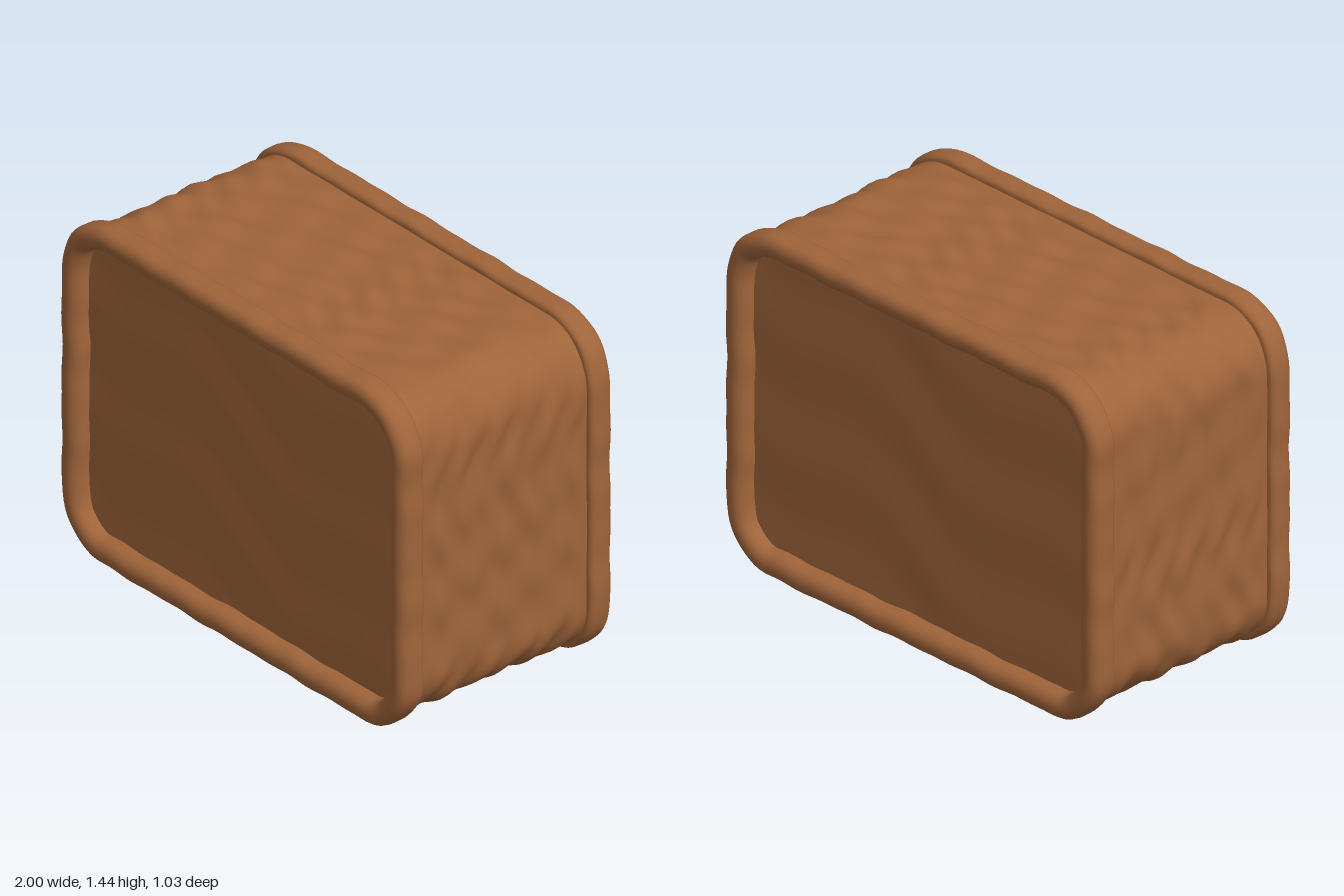
import * as THREE from 'three';

const HALF_W = 0.995, HALF_H = 0.717, RADIUS = 0.25, MID_Y = 0.73;

// Outline of the rounded rectangle: corner centre, outward normal, distance along it
function makeOutline() {
  const pts = [], cx = HALF_W - RADIUS, cy = HALF_H - RADIUS, arcSteps = 12;
  const corners = [[cx, cy], [-cx, cy], [-cx, -cy], [cx, -cy]];
  corners.forEach(([x, y], k) => {
    for (let i = 0; i <= arcSteps; i++) {
      const a = (k + i / arcSteps) * Math.PI / 2;
      pts.push({ x, y, nx: Math.cos(a), ny: Math.sin(a) });
    }
    // straight run to the next corner
    const [x2, y2] = corners[(k + 1) % 4], a = (k + 1) * Math.PI / 2;
    const steps = k % 2 ? 28 : 44;
    for (let i = 1; i < steps; i++) {
      const t = i / steps;
      pts.push({ x: x + (x2 - x) * t, y: y + (y2 - y) * t, nx: Math.cos(a), ny: Math.sin(a) });
    }
  });
  let s = 0;
  pts.forEach((p, i) => {
    const q = pts[Math.max(i - 1, 0)], r = RADIUS;
    s += Math.hypot(p.x + r * p.nx - q.x - r * q.nx, p.y + r * p.ny - q.y - r * q.ny);
    p.s = s;
  });
  const last = pts[pts.length - 1];
  const total = s + Math.hypot(last.x + RADIUS * last.nx - HALF_W, last.y + RADIUS * last.ny - (HALF_H - RADIUS));
  pts.forEach((p) => { p.u = p.s / total * Math.PI * 2; });
  return pts;
}

// Skin closed rings; each row is { inset, z, scale }, wobble moves a point
function loft(outline, rows, wobble) {
  const n = outline.length, pos = [], idx = [];
  rows.forEach(({ inset, z, scale = 1 }) => outline.forEach((p) => {
    const [out, dz] = wobble(p, z, scale);
    const r = RADIUS - inset + out;
    pos.push((p.x + p.nx * r) * scale, (p.y + p.ny * r) * scale, z + dz);
  }));
  for (let i = 0; i < rows.length - 1; i++) {
    for (let j = 0; j < n; j++) {
      const k = (j + 1) % n, a = i * n + j, b = i * n + k;
      idx.push(a, b, a + n, b, b + n, a + n);
    }
  }
  const g = new THREE.BufferGeometry();
  g.setAttribute('position', new THREE.Float32BufferAttribute(pos, 3));
  g.setIndex(idx);
  g.computeVertexNormals();
  return g;
}

export function createModel() {
  const model = new THREE.Group();
  const brown = new THREE.MeshStandardMaterial({ color: 0x9f643a });
  brown.name = 'warmBrown';
  const outline = makeOutline();

  // Body wall with soft ripples running around it
  const bodyRows = [];
  for (let i = 0; i <= 48; i++) bodyRows.push({ inset: 0.024, z: -0.41 + 0.82 * i / 48 });
  const ripple = ({ u }, z) => {
    const fade = Math.min(1, (0.41 - Math.abs(z)) / 0.08);
    const h = 0.0045 * Math.sin(46 * z + 2.2 * Math.sin(7 * u) + 1.3 * Math.sin(13 * u + 1))
      + 0.0035 * Math.sin(29 * z - 17 * u + 1.5 * Math.sin(5 * u))
      + 0.003 * Math.sin(23 * u + 11 * z);
    return [h * fade - 0.004 * (1 - fade), 0];
  };
  const body = new THREE.Mesh(loft(outline, bodyRows, ripple), brown);
  body.name = 'body';
  model.add(body);

  // Rounded rim, as [inset, z], from the body wall to the recessed panel
  const rimRows = [
    [0.045, 0.4], [0.02, 0.4], [0.008, 0.405], [0.001, 0.418], [0, 0.44], [0, 0.465],
    [0.004, 0.487], [0.014, 0.502], [0.03, 0.511], [0.048, 0.513], [0.066, 0.51],
    [0.081, 0.501], [0.092, 0.487], [0.097, 0.47], [0.099, 0.45], [0.1, 0.43],
  ].map(([inset, z]) => ({ inset, z }));
  const rimGeo = loft(outline, rimRows, ({ u }) => [
    0.002 * Math.sin(19 * u) + 0.002 * Math.sin(31 * u + 1), 0.001 * Math.sin(14 * u)]);

  // Recessed end panel, faintly uneven
  const panelRows = [];
  for (let i = 0; i <= 20; i++) panelRows.push({ inset: 0.094, z: 0.44, scale: 1 - i / 20 });
  const panelGeo = loft(outline, panelRows, (p, z, k) => {
    const x = (p.x + p.nx * 0.15) * k, y = (p.y + p.ny * 0.15) * k;
    return [0, 0.002 * Math.sin(13 * y + 4 * x + Math.sin(6 * x)) + 0.001 * Math.sin(9 * x - 7 * y)];
  });

  // Same rim and panel at the front and the back
  ['front', 'back'].forEach((side, i) => {
    const end = new THREE.Group();
    end.name = side + 'End';
    const rim = new THREE.Mesh(rimGeo, brown), panel = new THREE.Mesh(panelGeo, brown);
    rim.name = side + 'Rim';
    panel.name = side + 'Panel';
    end.add(rim, panel);
    end.rotation.y = i * Math.PI;
    model.add(end);
  });

  model.children.forEach((c) => { c.position.y = MID_Y; });
  return model;
}
